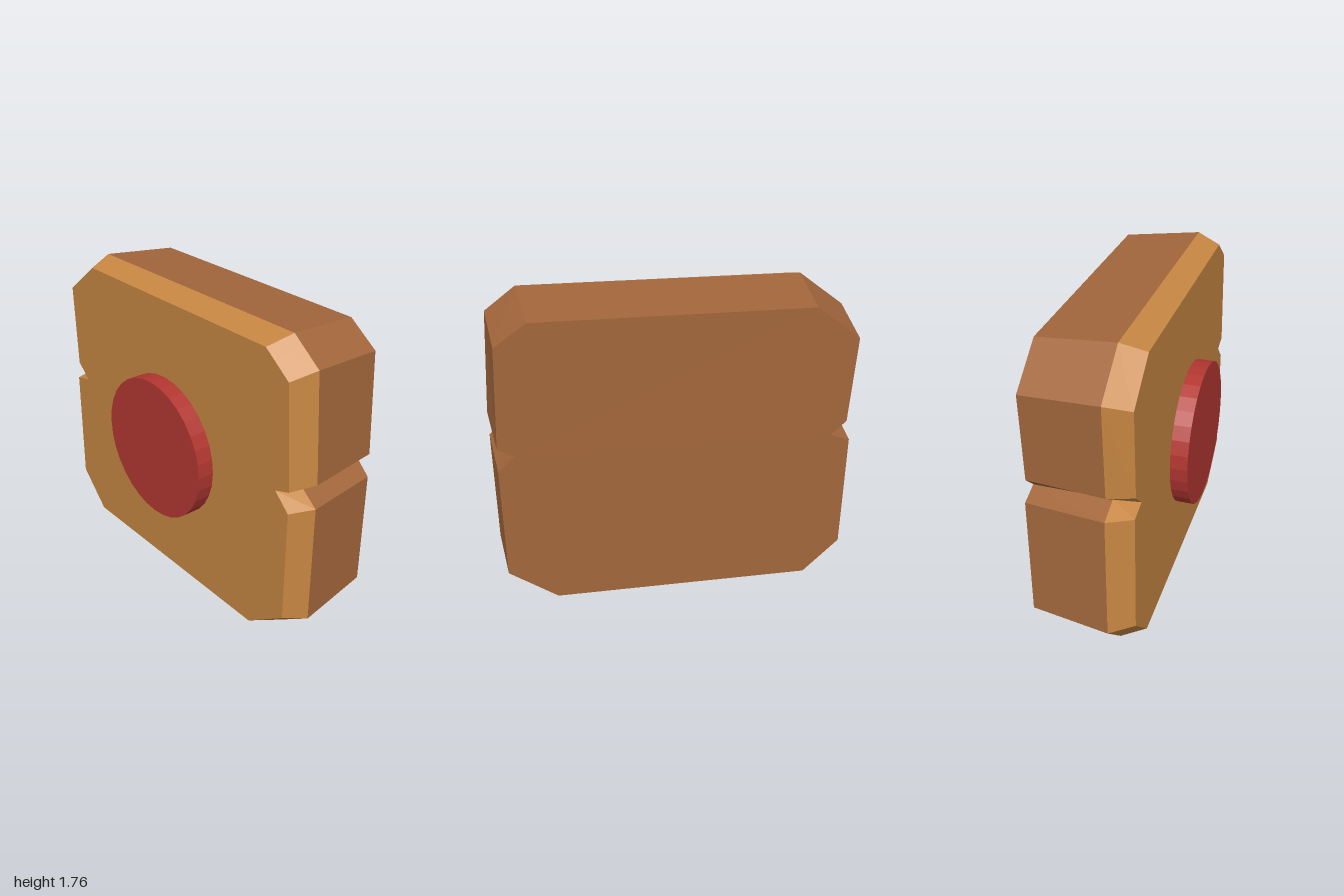
import * as THREE from 'three';

const lightWood = new THREE.MeshStandardMaterial({ color: 0xc68642, flatShading: true });
lightWood.name = 'light wood';
const darkWood = new THREE.MeshStandardMaterial({ color: 0xa2663b, flatShading: true });
darkWood.name = 'dark wood';
const red = new THREE.MeshStandardMaterial({ color: 0xb23630, flatShading: true });
red.name = 'red';

// Outlines of the slab, counter-clockwise seen from the front
const front = [
  [-0.745, 0.055], [0.69, 0.065], [0.945, 0.255], [0.945, 0.905], [0.85, 0.995], [0.945, 1.03], [0.905, 1.6],
  [0.745, 1.72], [-0.71, 1.705], [-0.945, 1.52], [-0.925, 1.04], [-0.834, 0.957], [-0.945, 0.93], [-0.945, 0.255],
];
const middle = [
  [-0.79, 0.005], [0.72, 0.015], [1, 0.215], [1, 0.905], [0.885, 0.995], [1, 1.045], [0.96, 1.64],
  [0.79, 1.768], [-0.745, 1.75], [-1, 1.555], [-0.975, 1.045], [-0.866, 0.97], [-1, 0.922], [-1, 0.215],
];
const back = [
  [-0.755, 0.045], [0.69, 0.055], [0.955, 0.25], [0.955, 0.905], [0.86, 0.995], [0.95, 1.04], [0.92, 1.605],
  [0.75, 1.725], [-0.715, 1.71], [-0.955, 1.525], [-0.93, 1.04], [-0.845, 0.96], [-0.955, 0.922], [-0.955, 0.245],
];

function mesh(name, geometry, material) {
  const m = new THREE.Mesh(geometry, material);
  m.name = name;
  return m;
}

function fromTriangles(points) {
  const g = new THREE.BufferGeometry();
  g.setAttribute('position', new THREE.Float32BufferAttribute(points.flat(), 3));
  g.computeVertexNormals();
  return g;
}

// Flat cap filling an outline
function cap(outline, z, flip) {
  const faces = THREE.ShapeUtils.triangulateShape(outline.map(([x, y]) => new THREE.Vector2(x, y)), []);
  return fromTriangles(faces.flatMap(([a, b, c]) => (flip ? [a, c, b] : [a, b, c]).map((i) => [...outline[i], z])));
}

// Band of walls joining a rear outline to a forward one
function band(rear, zRear, fore, zFore) {
  const points = [];
  rear.forEach((_, i) => {
    const j = (i + 1) % rear.length;
    const a = [...rear[i], zRear], b = [...rear[j], zRear];
    const c = [...fore[j], zFore], d = [...fore[i], zFore];
    points.push(a, b, c, a, c, d);
  });
  return fromTriangles(points);
}

export function createModel() {
  const model = new THREE.Group();
  model.name = 'notchedPlaque';

  // Wooden slab
  const slab = new THREE.Group();
  slab.name = 'slab';
  slab.add(
    mesh('frontFace', cap(front, 0.22, false), lightWood),
    mesh('frontBevel', band(middle, 0.085, front, 0.22), lightWood),
    mesh('sideWalls', band(back, -0.34, middle, 0.085), darkWood),
    mesh('backFace', cap(back, -0.34, true), darkWood),
  );

  // Round disc floating just ahead of the front face
  const disc = mesh('disc', new THREE.CylinderGeometry(0.405, 0.405, 0.095, 32), red);
  disc.rotation.x = Math.PI / 2;
  disc.position.set(0, 0.887, 0.2925);

  model.add(slab, disc);
  return model;
}
